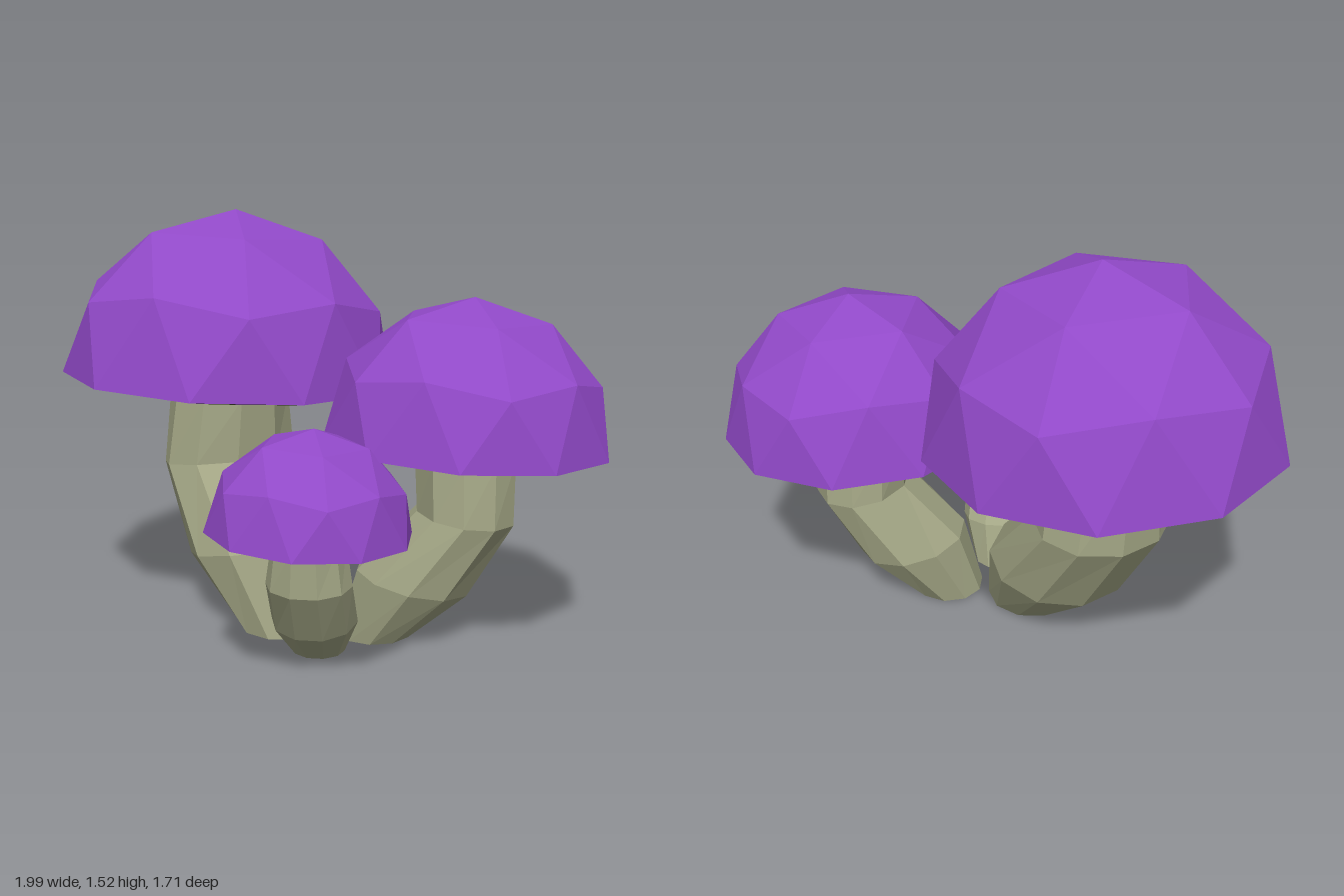
import * as THREE from 'three';

const paint = (color) => new THREE.MeshStandardMaterial({ color, flatShading: true });
const capPaint = paint(0x9149c8);
const gillPaint = paint(0x50523f);
const stemPaint = paint(0xa3a685);
const SIDES = 10;
const LEAN = 0.62;   // sideways reach of the stem, for a cap of radius 1
const RIM = 1.41;    // height of the cap rim, for a cap of radius 1

// Upper half of a subdivided icosahedron with one vertex pointing up
function domeGeometry() {
  const ball = new THREE.IcosahedronGeometry(1, 1);
  ball.rotateZ(-Math.atan(2 / (1 + Math.sqrt(5))));
  const p = ball.attributes.position;
  const kept = [];
  for (let i = 0; i < p.count; i += 3) {
    if (Math.min(p.getY(i), p.getY(i + 1), p.getY(i + 2)) < -0.01) continue;
    for (let k = i; k < i + 3; k++) kept.push(p.getX(k), p.getY(k), p.getZ(k));
  }
  const g = new THREE.BufferGeometry();
  g.setAttribute('position', new THREE.Float32BufferAttribute(kept, 3));
  g.computeVertexNormals();
  return g;
}

// Bent stem lofted through tilted rings, leaning to +x, closed at the foot
function stemGeometry() {
  // offset, height, radius along the lean, radius across it, tilt
  const rings = [
    [0, 0, 0.265, 0.265, 0],
    [0.275, 0.42, 0.41, 0.43, 0.2],
    [0.637, 0.9, 0.35, 0.42, 0.12],
    [0.63, 1.31, 0.36, 0.36, 0],
  ];
  const point = (j, i) => {
    const [x, y, rx, rz, tilt] = rings[j];
    const a = ((i + 0.5) / SIDES) * Math.PI * 2;
    const r = rx * Math.cos(a);
    return [x + r * Math.cos(tilt), y - r * Math.sin(tilt), rz * Math.sin(a)];
  };
  const v = [];
  for (let i = 0; i < SIDES; i++) {
    v.push(0, 0, 0, ...point(0, i), ...point(0, i + 1));
    for (let j = 0; j < rings.length - 1; j++) {
      const a = point(j, i), b = point(j, i + 1), c = point(j + 1, i), d = point(j + 1, i + 1);
      v.push(...a, ...c, ...b, ...b, ...c, ...d);
    }
  }
  const g = new THREE.BufferGeometry();
  g.setAttribute('position', new THREE.Float32BufferAttribute(v, 3));
  g.computeVertexNormals();
  return g;
}

export function createModel() {
  const dome = domeGeometry();
  const stemGeo = stemGeometry();
  const gillGeo = new THREE.CylinderGeometry(1, 0.36, 0.12, SIDES);
  gillGeo.translate(0, -0.06, 0);

  // One mushroom: cap centre, cap radius, direction the stem leans
  const mushroom = (name, x, z, radius, angle) => {
    const dx = LEAN * Math.cos(angle), dz = -LEAN * Math.sin(angle);
    const group = new THREE.Group();
    group.name = name;
    group.position.set(x - dx * radius, 0, z - dz * radius);
    group.scale.setScalar(radius);

    const stem = new THREE.Mesh(stemGeo, stemPaint);
    stem.name = 'stem';
    stem.rotation.y = angle;

    // Cap and its underside, tipped slightly to +x
    const head = new THREE.Group();
    head.name = 'head';
    head.position.set(dx, RIM, dz);
    head.rotation.z = -0.05;
    const cap = new THREE.Mesh(dome, capPaint);
    cap.name = 'cap';
    const underside = new THREE.Mesh(gillGeo, gillPaint);
    underside.name = 'capUnderside';
    head.add(cap, underside);

    group.add(stem, head);
    return group;
  };

  const model = new THREE.Group();
  model.name = 'mushroomCluster';
  model.add(
    mushroom('largeMushroom', -0.4, -0.23, 0.63, THREE.MathUtils.degToRad(132)),
    mushroom('mediumMushroom', 0.51, 0.09, 0.51, 0),
    mushroom('smallMushroom', 0.02, 0.505, 0.347, -Math.PI / 2),
  );
  return model;
}
